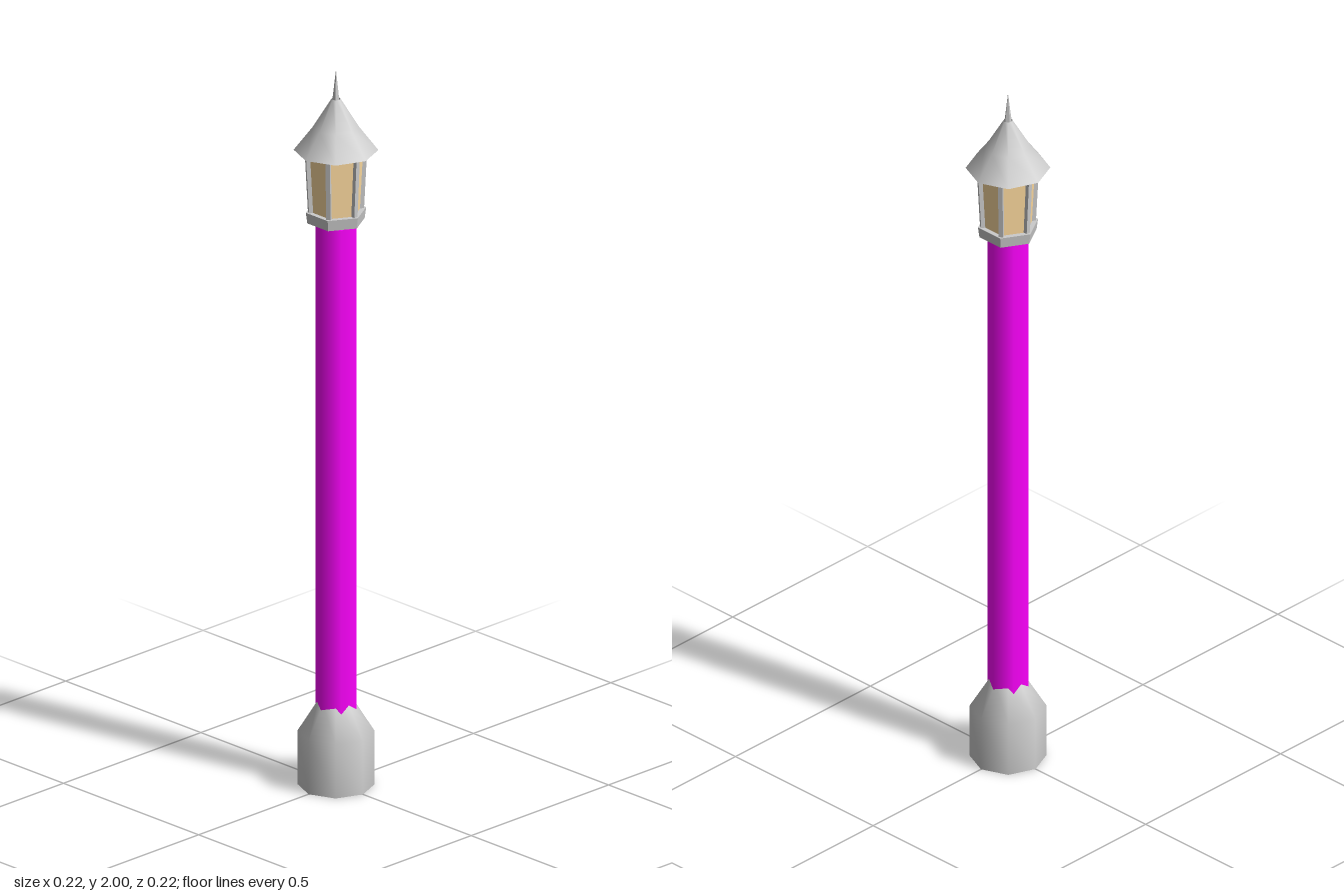
import * as THREE from 'three';

const material = (color, flat = false) =>
  new THREE.MeshStandardMaterial({ color, flatShading: flat, side: THREE.DoubleSide });

export function createModel() {
  const model = new THREE.Group();
  const grey = material(0xcccccc);
  const flatGrey = material(0xcccccc, true);
  const magenta = material(0xff00ff);
  const amber = material(0xffdca0, true);

  const add = (name, geometry, mat, y = 0, turn = 0, parent = model) => {
    const mesh = new THREE.Mesh(geometry, mat);
    mesh.name = name;
    mesh.position.y = y;
    mesh.rotation.y = turn;
    parent.add(mesh);
    return mesh;
  };
  const lathe = (points, sides) =>
    new THREE.LatheGeometry(points.map(([r, y]) => new THREE.Vector2(r, y)), sides);

  // Hollow octagonal foot tapering up to the pole
  add('base', lathe([[0.1, 0], [0.1, 0.15], [0.047, 0.235]], 8), grey);

  // Six-sided pole with a corner facing the front
  add('pole', new THREE.CylinderGeometry(0.055, 0.055, 1.37, 6), magenta, 0.885);

  // Lantern: a hexagon with flat panes to the front and back
  const lantern = new THREE.Group();
  lantern.name = 'lantern';
  model.add(lantern);
  const turn = Math.PI / 6;
  add('neck', new THREE.CylinderGeometry(0.04, 0.04, 0.015, 6), flatGrey, 1.572, turn, lantern);
  add('tray', new THREE.CylinderGeometry(0.081, 0.077, 0.03, 6), flatGrey, 1.592, turn, lantern);
  add('glass', new THREE.CylinderGeometry(0.075, 0.066, 0.175, 6, 1, true), amber, 1.69, turn, lantern);

  // Corner posts leaning outward towards the roof
  const lean = Math.atan2(0.009, 0.175);
  for (let i = 0; i < 6; i++) {
    const corner = new THREE.Group();
    corner.name = 'lanternCorner';
    corner.rotation.y = i * Math.PI / 3 + turn;
    lantern.add(corner);
    const post = add('post', new THREE.BoxGeometry(0.012, 0.178, 0.012), flatGrey, 1.69, 0, corner);
    post.position.z = 0.072;
    post.rotation.x = lean;
  }

  // Octagonal roof, slightly hollow in profile, with a flat underside
  add('roof', lathe([[0.11, 1.775], [0.06, 1.84], [0.012, 1.918]], 8), grey);
  const underside = add('roofUnderside', new THREE.CircleGeometry(0.11, 8), flatGrey, 1.775);
  underside.rotation.x = Math.PI / 2;

  // Five-sided spike
  add('finial', new THREE.ConeGeometry(0.011, 0.095, 5), flatGrey, 1.9525, Math.PI);

  return model;
}
